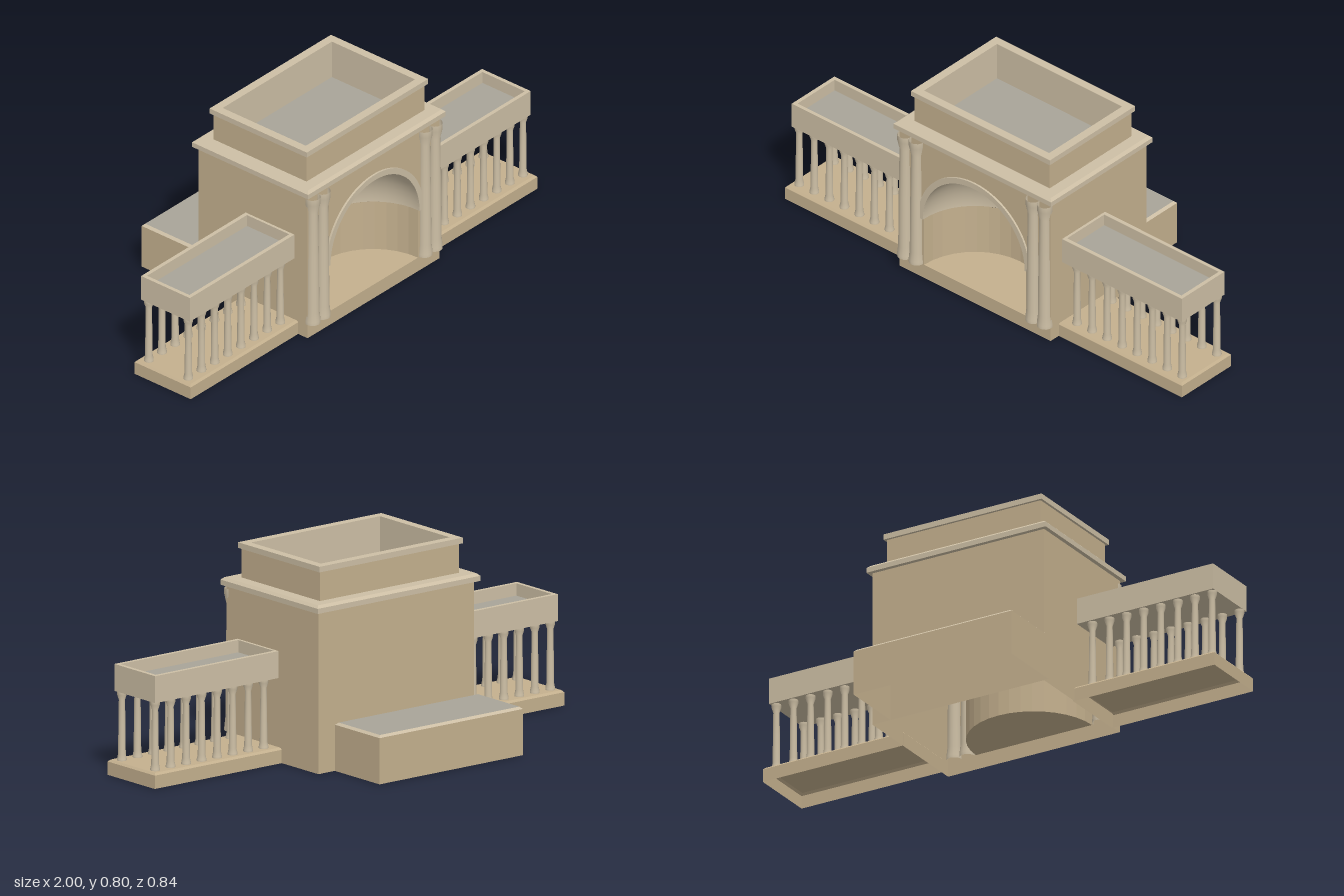
import * as THREE from 'three';

const material = (color, flatShading = false) =>
  new THREE.MeshStandardMaterial({ color, flatShading, side: THREE.DoubleSide });
const WALL = material(0xc4b08e);
const FACETED = material(0xc4b08e, true);
const TRIM = material(0xcdbfa5);
const ROOF = material(0xa8a498);

function add(parent, name, geometry, mat, x = 0, y = 0, z = 0) {
  const mesh = new THREE.Mesh(geometry, mat);
  mesh.name = name;
  mesh.position.set(x, y, z);
  parent.add(mesh);
  return mesh;
}

// Rectangular moulding: a plan [x0, x1, z0, z1] swept through [inset, y] steps
function moulding([x0, x1, z0, z1], profile) {
  const ring = ([d, y]) => [
    [x0 + d, y, z1 - d], [x1 - d, y, z1 - d], [x1 - d, y, z0 + d], [x0 + d, y, z0 + d],
  ];
  const positions = [];
  for (let i = 0; i < profile.length - 1; i++) {
    const a = ring(profile[i]), b = ring(profile[i + 1]);
    for (let k = 0; k < 4; k++) {
      const n = (k + 1) % 4;
      positions.push(...a[k], ...a[n], ...b[n], ...a[k], ...b[n], ...b[k]);
    }
  }
  const geometry = new THREE.BufferGeometry();
  geometry.setAttribute('position', new THREE.Float32BufferAttribute(positions, 3));
  geometry.computeVertexNormals();
  return geometry;
}

// Horizontal panel filling a plan, facing up or down
function panel(parent, name, [x0, x1, z0, z1], inset, y, mat, down = false) {
  const geometry = new THREE.PlaneGeometry(x1 - x0 - 2 * inset, z1 - z0 - 2 * inset);
  geometry.rotateX(down ? Math.PI / 2 : -Math.PI / 2);
  return add(parent, name, geometry, mat, (x0 + x1) / 2, y, (z0 + z1) / 2);
}

// Turned column with flared foot and head
function columnGeometry(height, shaft, flare, flareHeight) {
  const points = [
    [flare, 0], [flare, flareHeight * 0.25], [shaft * 1.08, flareHeight],
    [shaft, height * 0.5], [shaft * 0.88, height - flareHeight * 1.3],
    [flare, height - flareHeight * 0.5], [flare, height],
  ];
  return new THREE.LatheGeometry(points.map(([r, y]) => new THREE.Vector2(r, y)), 14);
}

const PLAN = [-0.38, 0.38, -0.155, 0.39];
const FLOOR = 0.06, SPRING = 0.27, RADIUS = 0.257, EAVES = 0.63;

function createPavilion() {
  const g = new THREE.Group();
  g.name = 'centralPavilion';
  const [x0, x1, z0, z1] = PLAN;

  // Front wall pierced by the arch
  const front = new THREE.Shape();
  front.moveTo(x0, 0).lineTo(x1, 0).lineTo(x1, EAVES).lineTo(x0, EAVES).closePath();
  const arch = new THREE.Path();
  arch.moveTo(-RADIUS, FLOOR).lineTo(RADIUS, FLOOR).lineTo(RADIUS, SPRING);
  arch.absarc(0, SPRING, RADIUS, 0, Math.PI, false);
  arch.closePath();
  front.holes.push(arch);
  add(g, 'frontWall', new THREE.ShapeGeometry(front, 24), WALL, 0, 0, z1);

  // Back and side walls
  const back = add(g, 'backWall', new THREE.PlaneGeometry(x1 - x0, EAVES), WALL, 0, EAVES / 2, z0);
  back.rotation.y = Math.PI;
  for (const s of [-1, 1]) {
    const side = add(g, s > 0 ? 'leftWall' : 'rightWall',
      new THREE.PlaneGeometry(z1 - z0, EAVES), WALL, s * x1, EAVES / 2, (z0 + z1) / 2);
    side.rotation.y = s * Math.PI / 2;
  }

  // Half-round niche with quarter-sphere vault
  const drum = new THREE.CylinderGeometry(RADIUS, RADIUS, SPRING - FLOOR, 18, 1, true, Math.PI / 2, Math.PI);
  add(g, 'nicheWall', drum, FACETED, 0, (SPRING + FLOOR) / 2, z1);
  const vault = new THREE.SphereGeometry(RADIUS, 24, 12, 0, Math.PI, 0, Math.PI / 2);
  vault.rotateY(Math.PI);
  add(g, 'nicheVault', vault, TRIM, 0, SPRING, z1);
  const floor = new THREE.CircleGeometry(RADIUS, 18, 0, Math.PI);
  floor.rotateX(-Math.PI / 2);
  add(g, 'nicheFloor', floor, WALL, 0, FLOOR, z1);

  // Raised band around the arch
  const band = new THREE.Shape();
  band.absarc(0, 0, 0.281, 0, Math.PI, false);
  band.absarc(0, 0, RADIUS, Math.PI, 0, true);
  band.closePath();
  const bandGeometry = new THREE.ExtrudeGeometry(band, { depth: 0.012, bevelEnabled: false, curveSegments: 24 });
  add(g, 'archBand', bandGeometry, TRIM, 0, SPRING, z1 - 0.004);

  // Paired engaged columns
  const column = columnGeometry(0.555, 0.025, 0.031, 0.05);
  for (const x of [-0.352, -0.294, 0.294, 0.352]) {
    add(g, 'engagedColumn', column, TRIM, x, FLOOR, z1);
  }

  // Cornice, attic, coping and sunken roof
  add(g, 'cornice', moulding(PLAN,
    [[0, EAVES], [-0.017, EAVES], [-0.017, 0.65], [-0.006, 0.66], [0.04, 0.66]]), TRIM);
  add(g, 'attic', moulding(PLAN, [[0.04, 0.66], [0.04, 0.775]]), WALL);
  add(g, 'atticCoping', moulding(PLAN,
    [[0.04, 0.775], [0.03, 0.775], [0.03, 0.797], [0.065, 0.797], [0.065, 0.64]]), TRIM);
  panel(g, 'mainRoof', PLAN, 0.065, 0.64, ROOF);
  return g;
}

function createWing(s) {
  const g = new THREE.Group();
  g.name = s > 0 ? 'leftColonnade' : 'rightColonnade';
  const plan = (a, b, z0, z1) => (s > 0 ? [a, b, z0, z1] : [-b, -a, z0, z1]);

  // Plinth with bevelled top edge
  const base = plan(0.375, 1, 0.063, 0.343);
  add(g, 'plinth', moulding(base, [[0, 0], [0, 0.052], [0.008, FLOOR]]), WALL);
  panel(g, 'plinthTop', base, 0.008, FLOOR, WALL);

  // Deep entablature with sunken roof
  const top = plan(0.375, 0.983, 0.081, 0.324);
  add(g, 'entablature', moulding(top, [[0, 0.328], [0, 0.433], [0.016, 0.433], [0.016, 0.385]]), TRIM);
  panel(g, 'entablatureSoffit', top, 0, 0.328, TRIM, true);
  panel(g, 'wingRoof', top, 0.016, 0.385, ROOF);

  // Two rows of columns
  const column = columnGeometry(0.268, 0.0135, 0.0185, 0.025);
  for (let i = 0; i < 8; i++) {
    for (const z of [0.104, 0.301]) {
      add(g, 'column', column, TRIM, s * (0.435 + i * 0.0757), FLOOR, z);
    }
  }
  return g;
}

function createAnnex() {
  // Low block against the back wall
  const g = new THREE.Group();
  g.name = 'rearAnnex';
  const plan = [-0.4, 0.3, -0.421, -0.157];
  add(g, 'annexWalls', moulding(plan, [[0, 0], [0, 0.18]]), WALL);
  add(g, 'annexEdge', moulding(plan, [[0, 0.18], [0.01, 0.189]]), TRIM);
  panel(g, 'annexRoof', plan, 0.01, 0.189, ROOF);
  return g;
}

export function createModel() {
  const model = new THREE.Group();
  model.name = 'archedPavilion';
  model.add(createPavilion(), createWing(1), createWing(-1), createAnnex());
  return model;
}
